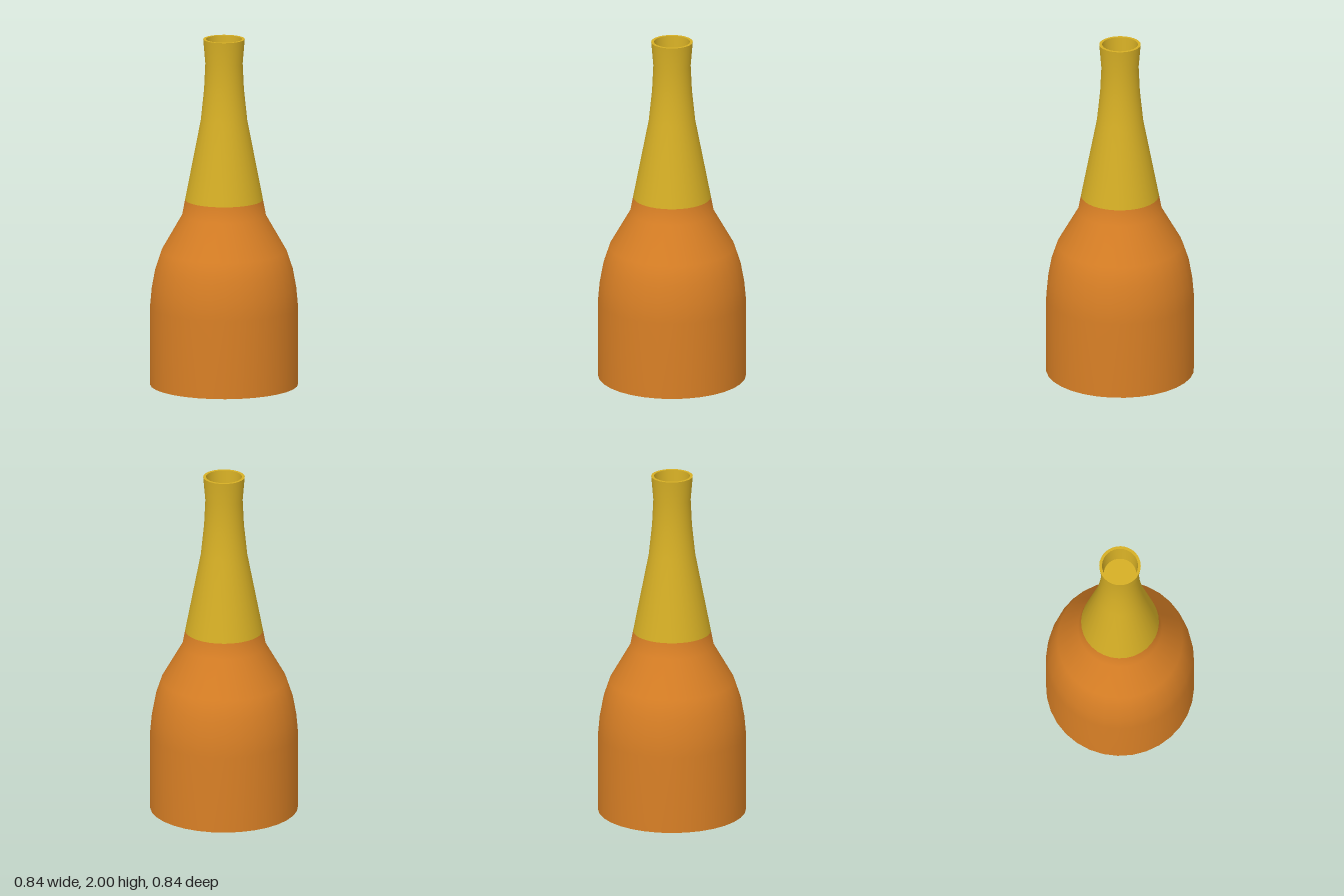
import * as THREE from 'three';

const SEGMENTS = 32;

export function createModel() {
  const bottle = new THREE.Group();
  bottle.name = 'bottle';

  const orange = new THREE.MeshStandardMaterial({ color: 0xd87f25, side: THREE.DoubleSide });
  orange.name = 'orange';
  const yellow = new THREE.MeshStandardMaterial({ color: 0xd6af25, side: THREE.DoubleSide });
  yellow.name = 'yellow';

  // Turns a list of [radius, height] points around the y axis
  const turn = (name, material, profile) => {
    const points = profile.map(([r, y]) => new THREE.Vector2(r, y));
    const mesh = new THREE.Mesh(new THREE.LatheGeometry(points, SEGMENTS), material);
    mesh.name = name;
    bottle.add(mesh);
  };

  // Straight wall, open underneath, rounding into the shoulder
  turn('body', orange, [
    [0.42, 0], [0.42, 0.45], [0.41, 0.56], [0.39, 0.67],
    [0.355, 0.775], [0.238, 0.98], [0.221, 1.07],
  ]);

  // Tapering neck with a flared mouth
  turn('neck', yellow, [
    [0.221, 1.07], [0.132, 1.53], [0.113, 1.71], [0.106, 1.86], [0.118, 2],
  ]);

  // Flat lip, inner wall and the floor closing the mouth
  turn('lip', yellow, [[0.118, 2], [0.102, 2]]);
  turn('mouthWall', yellow, [[0.102, 2], [0.093, 1.86]]);
  turn('mouthFloor', yellow, [[0.093, 1.86], [0, 1.86]]);

  return bottle;
}
